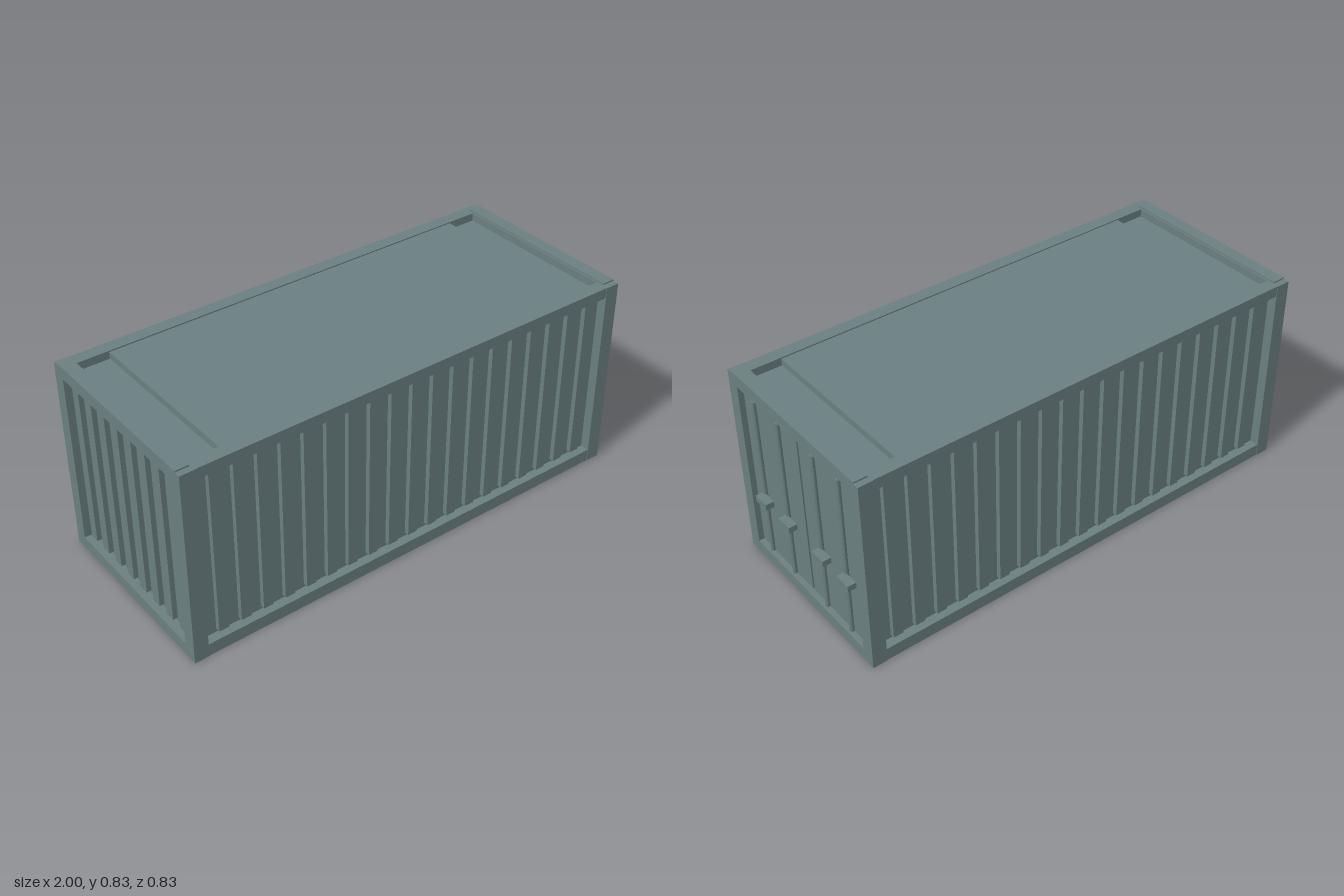
import * as THREE from 'three';

export function createModel() {
  const model = new THREE.Group();
  model.name = 'shippingContainer';
  const paint = new THREE.MeshStandardMaterial({ color: 0x6b7f81 });
  paint.name = 'greyGreenPaint';

  // Box given by its minimum and maximum on each axis
  function block(name, [x0, x1], [y0, y1], [z0, z1], parent = model) {
    const mesh = new THREE.Mesh(new THREE.BoxGeometry(x1 - x0, y1 - y0, z1 - z0), paint);
    mesh.position.set((x0 + x1) / 2, (y0 + y1) / 2, (z0 + z1) / 2);
    mesh.name = name;
    parent.add(mesh);
    return mesh;
  }
  function group(name) {
    const g = new THREE.Group();
    g.name = name;
    model.add(g);
    return g;
  }

  const X0 = -1, X1 = 0.975, Z = 0.414, TOP = 0.823;
  const INX0 = -0.94, INX1 = 0.915, INZ = 0.358, INY0 = 0.053, INY1 = 0.778;

  // Closed body: its faces are the recessed walls, floor and roof ends
  block('body', [-0.96, 0.952], [0.035, 0.79], [-0.374, 0.374]);
  block('roofPanel', [-0.81, 0.79], [0.78, 0.818], [-INZ, INZ]);

  // Frame of corner posts and beams
  const frame = group('frame');
  for (const s of [-1, 1]) {
    const zr = s > 0 ? [INZ, Z] : [-Z, -INZ];
    const zb = s > 0 ? [INZ, Z - 0.002] : [-Z + 0.002, -INZ];
    block('cornerPost', [X0, INX0], [0, TOP], zr, frame);
    block('cornerPost', [INX1, X1], [0, TOP], zr, frame);
    block('bottomSideBeam', [INX0, INX1], [0, INY0], zb, frame);
    block('topSideBeam', [INX0, INX1], [INY1, TOP], zb, frame);
  }
  for (const xr of [[X0, INX0], [INX1, X1]]) {
    block('bottomEndBeam', xr, [0, INY0], [-INZ, INZ], frame);
    block('topEndBeam', xr, [INY1, TOP], [-INZ, INZ], frame);
    const cap = xr[0] < 0 ? [X0, X0 + 0.054] : [X1 - 0.054, X1];
    block('endBeamCap', cap, [TOP, 0.829], [-0.388, 0.388], frame);
  }

  // Corrugation ribs along both sides
  const sideRibs = group('sideRibs');
  for (let i = 0; i < 19; i++) {
    const x = -0.882 + i * 0.095;
    block('sideRib', [x, x + 0.042], [0.068, 0.762], [0.37, 0.394], sideRibs);
    block('sideRib', [x, x + 0.042], [0.068, 0.762], [-0.394, -0.37], sideRibs);
  }

  // Corrugation ribs on the closed end
  const endRibs = group('endRibs');
  for (let i = 0; i < 8; i++) {
    const z = (i - 3.5) * 0.09;
    block('endRib', [-0.98, -0.955], [0.068, 0.762], [z - 0.021, z + 0.021], endRibs);
  }

  // Doors: centre seam, lock rods and handles
  const doors = group('doors');
  block('doorSeam', [0.95, 0.958], [0.065, 0.76], [-0.003, 0.003], doors);
  for (const z of [0.271, 0.112, -0.111, -0.269]) {
    const rod = new THREE.Mesh(new THREE.CylinderGeometry(0.009, 0.009, 0.695, 8), paint);
    rod.position.set(0.963, 0.4125, z);
    rod.name = 'lockRod';
    doors.add(rod);
    block('doorHandle', [0.965, 1], [0.319, 0.344], [z - 0.062, z + 0.008], doors);
  }

  return model;
}
